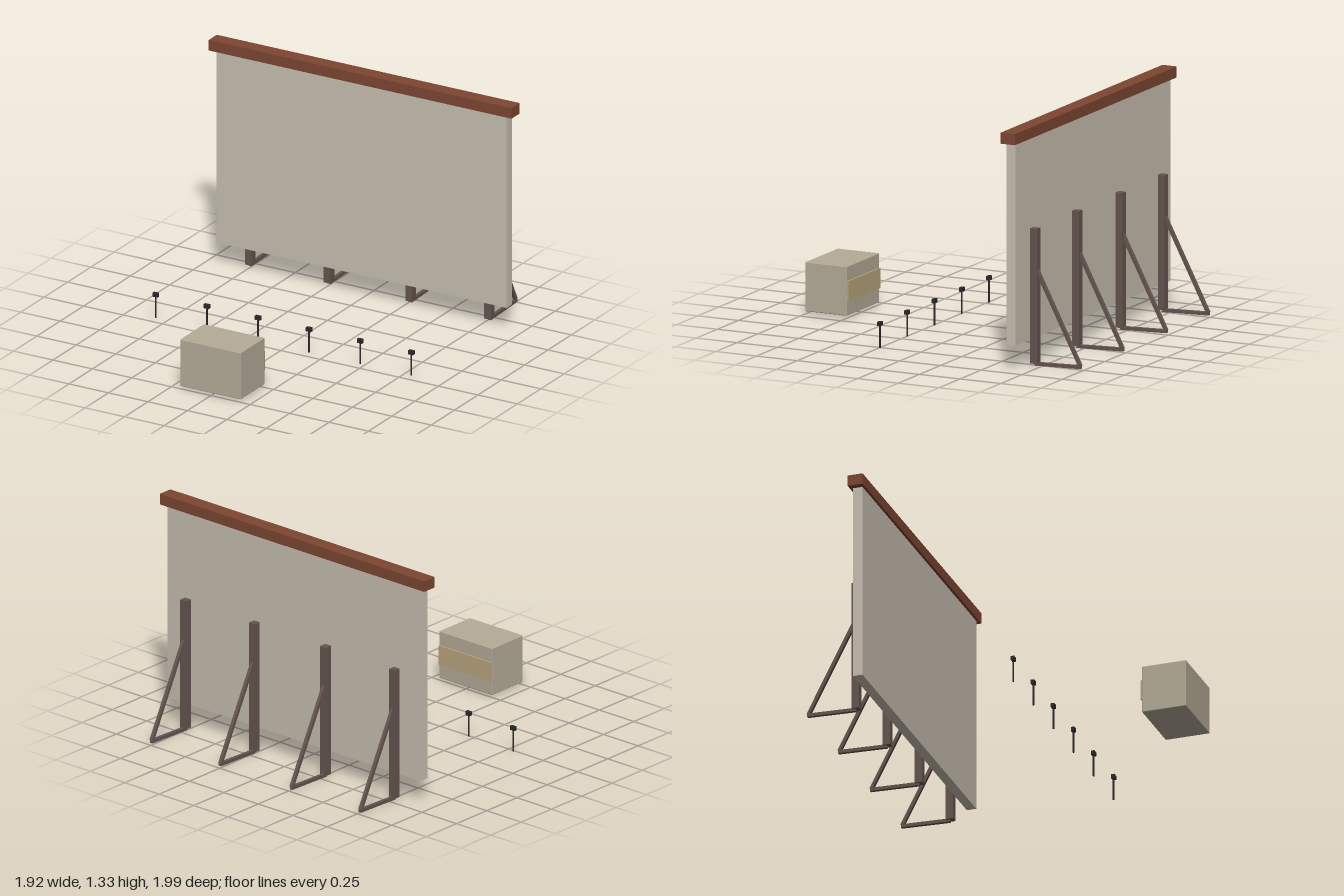
import * as THREE from 'three';
import { RoundedBoxGeometry } from 'three/addons/geometries/RoundedBoxGeometry.js';

const paint = (color) => new THREE.MeshStandardMaterial({ color });

export function createModel() {
  const model = new THREE.Group();
  const cream = paint(0xc8bfb0);
  const red = paint(0x7d4632);
  const wood = paint(0x65554f);
  const dark = paint(0x2b292b);
  const stone = paint(0xb5ab97);
  const glass = paint(0xb8a67c);

  const add = (parent, name, geometry, material, x, y, z) => {
    const mesh = new THREE.Mesh(geometry, material);
    mesh.name = name;
    mesh.position.set(x, y, z);
    parent.add(mesh);
    return mesh;
  };

  // box given by its lower and upper corners
  const block = (parent, name, material, a, b) => add(parent, name,
    new THREE.BoxGeometry(b[0] - a[0], b[1] - a[1], b[2] - a[2]), material,
    (a[0] + b[0]) / 2, (a[1] + b[1]) / 2, (a[2] + b[2]) / 2);

  // square bar between two points in the yz plane
  const bar = (parent, name, y1, z1, y2, z2, thick) => {
    const length = Math.hypot(y2 - y1, z2 - z1);
    const mesh = add(parent, name, new THREE.BoxGeometry(thick, length, thick), wood,
      0, (y1 + y2) / 2, (z1 + z2) / 2);
    mesh.rotation.x = Math.atan2(z2 - z1, y2 - y1);
  };

  // big screen with its cap beam
  block(model, 'screen', cream, [-0.92, 0.14, -0.67], [0.92, 1.27, -0.615]);
  block(model, 'capBeam', red, [-0.96, 1.27, -0.687], [0.96, 1.332, -0.6]);

  // posts with triangular bracing behind the screen
  [-0.76, -0.26, 0.257, 0.757].forEach((x) => {
    const support = new THREE.Group();
    support.name = 'support';
    support.position.x = x;
    block(support, 'post', wood, [-0.021, 0.015, -0.727], [0.021, 0.77, -0.685]);
    bar(support, 'diagonalBrace', 0.54, -0.717, 0.025, -0.985, 0.019);
    bar(support, 'groundBrace', 0.012, -0.706, 0.021, -0.99, 0.019);
    model.add(support);
  });

  // speaker posts in a row
  for (let i = 0; i < 6; i++) {
    const speaker = new THREE.Group();
    speaker.name = 'speaker';
    speaker.position.set(-0.81 + i * 0.324, 0, 0.22);
    add(speaker, 'speakerPole', new THREE.CylinderGeometry(0.005, 0.005, 0.13, 8), dark, 0, 0.08, 0);
    block(speaker, 'speakerHead', dark, [-0.016, 0.14, -0.01], [0.016, 0.163, 0.01]);
    model.add(speaker);
  }

  // projection booth with a window band facing the screen
  const booth = new THREE.Group();
  booth.name = 'booth';
  add(booth, 'boothBody', new RoundedBoxGeometry(0.385, 0.276, 0.256, 1, 0.005), stone, -0.002, 0.156, 0.872);
  block(booth, 'windowBand', glass, [-0.192, 0.1, 0.735], [0.188, 0.212, 0.75]);
  model.add(booth);

  return model;
}
